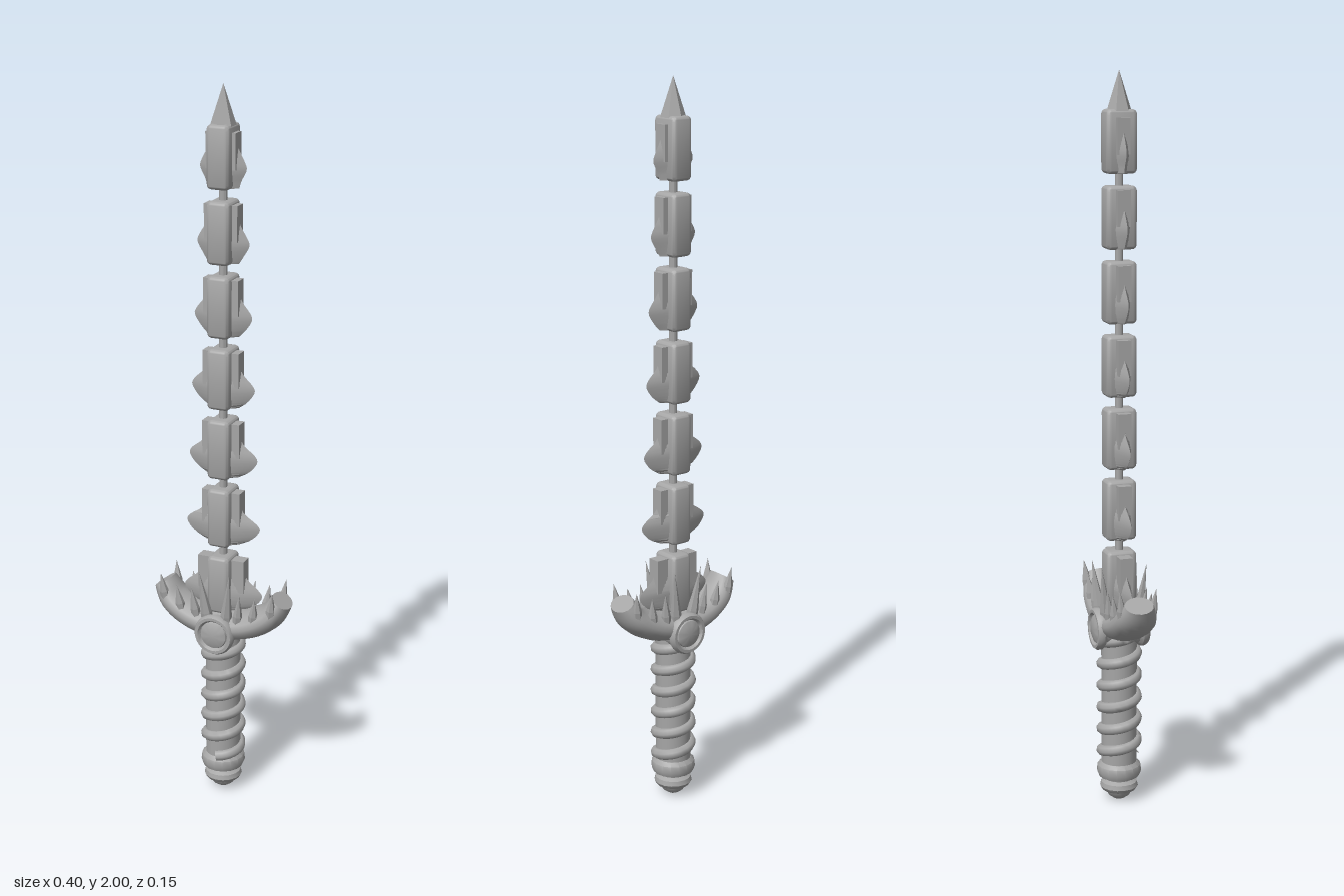
import * as THREE from 'three';
import { toCreasedNormals } from 'three/addons/utils/BufferGeometryUtils.js';
import { RoundedBoxGeometry } from 'three/addons/geometries/RoundedBoxGeometry.js';

const V = (x, y, z) => new THREE.Vector3(x, y, z);

export function createModel() {
  const root = new THREE.Group();
  root.name = 'segmentedSword';
  const steel = new THREE.MeshStandardMaterial({ color: 0xa6a6a6 });
  steel.name = 'grey steel';

  function add(name, geo, x = 0, y = 0, z = 0, parent = root, crease = 0.6) {
    const mesh = new THREE.Mesh(toCreasedNormals(geo, crease), steel);
    mesh.name = name;
    mesh.position.set(x, y, z);
    parent.add(mesh);
    return mesh;
  }

  // Diamond-section fin: sharp edges at left and right, bulging low down
  function finGeometry(bulge, upper, height) {
    const profile = new THREE.SplineCurve([
      [0.045, 0], [bulge * 0.78, 0.13], [bulge, 0.32], [bulge * 0.93, 0.45],
      [upper * 1.12, 0.62], [upper * 0.85, 0.8], [upper * 0.6, 1],
    ].map(([w, t]) => new THREE.Vector2(w, t)));
    const steps = 16;
    const geo = new THREE.CylinderGeometry(1, 1, 1, 4, steps);
    const p = geo.attributes.position;
    for (let i = 0; i < p.count; i++) {
      const s = profile.getPoint(p.getY(i) + 0.5);
      p.setXYZ(i, p.getX(i) * s.x, (s.y - 0.5) * height, p.getZ(i) * 0.034);
    }
    geo.computeVertexNormals();
    return geo;
  }

  // Blade links, narrowing towards the tip
  for (let i = 0; i < 7; i++) {
    const link = new THREE.Group();
    link.name = 'bladeLink' + (i + 1);
    link.position.y = 0.637 + i * 0.1967;
    root.add(link);
    const bulge = 0.116 - i * 0.0085;
    const upper = [0.068, 0.056, 0.054, 0.052, 0.05, 0.047, 0.042][i];
    add('linkCore', new RoundedBoxGeometry(0.064, 0.166, 0.084, 3, 0.013), 0, 0, 0, link);
    add('linkFin', finGeometry(bulge, upper, 0.15), 0, -0.006, 0, link);
    add('linkPlate', new THREE.BoxGeometry(upper * 2, 0.095, 0.036), 0, i === 6 ? 0.015 : 0.026, 0, link);
  }

  // Cord through the links, and the point
  add('bladeCord', new THREE.CylinderGeometry(0.011, 0.011, 1.25, 12), 0, 1.2, 0);
  add('bladeTip', new THREE.ConeGeometry(0.034, 0.105, 6), 0, 1.9475, 0, root, 0.3);

  // Grip core with a spiral wrap
  add('gripCore', new THREE.CylinderGeometry(0.049, 0.049, 0.42, 20), 0, 0.29, 0);
  const wrap = [];
  const turns = 6;
  for (let i = 0; i <= turns * 12; i++) {
    const a = (i / 12) * Math.PI * 2;
    wrap.push(V(Math.sin(a) * 0.048, 0.115 + (i / 12) * 0.063, Math.cos(a) * 0.048));
  }
  add('gripWrap', new THREE.TubeGeometry(new THREE.CatmullRomCurve3(wrap), 200, 0.0155, 8), 0, 0, 0, root, 1);

  // Pommel: two rings above a rounded end
  const pommel = [
    [0, 0], [0.016, 0.003], [0.03, 0.013], [0.036, 0.026], [0.047, 0.03], [0.053, 0.04],
    [0.05, 0.053], [0.038, 0.06], [0.04, 0.067], [0.056, 0.07], [0.062, 0.084],
    [0.06, 0.102], [0.05, 0.112], [0, 0.112],
  ].map(([r, y]) => new THREE.Vector2(r, y));
  add('pommel', new THREE.LatheGeometry(pommel, 16), 0, 0, 0, root, 0.7);

  // Crescent guard: oval sections along an upturned arc
  const arc = new THREE.CatmullRomCurve3([
    V(-0.177, 0.61, 0), V(-0.145, 0.562, 0), V(-0.08, 0.526, 0), V(0, 0.515, 0),
    V(0.08, 0.526, 0), V(0.145, 0.562, 0), V(0.177, 0.61, 0),
  ]);
  const rings = 32, sides = 16, pos = [], idx = [];
  for (let i = 0; i <= rings; i++) {
    const t = i / rings, c = arc.getPoint(t), d = arc.getTangent(t);
    const e = Math.abs(2 * t - 1);
    const depth = 0.067 - 0.027 * e ** 3, thick = 0.042 - 0.012 * e * e;
    for (let j = 0; j < sides; j++) {
      const a = (j / sides) * Math.PI * 2, n = Math.cos(a) * thick;
      pos.push(c.x - d.y * n, c.y + d.x * n, Math.sin(a) * depth);
    }
  }
  for (let i = 0; i < rings; i++) {
    for (let j = 0; j < sides; j++) {
      const a = i * sides + j, b = i * sides + ((j + 1) % sides);
      idx.push(a, a + sides, b, b, a + sides, b + sides);
    }
  }
  for (let j = 1; j < sides - 1; j++) {
    const k = rings * sides;
    idx.push(0, j, j + 1, k, k + j + 1, k + j);
  }
  const guard = new THREE.BufferGeometry();
  guard.setAttribute('position', new THREE.Float32BufferAttribute(pos, 3));
  guard.setIndex(idx);
  // Keep the faces pointing outwards
  const A = V(...pos.slice(0, 3)), B = V(...pos.slice(sides * 3, sides * 3 + 3)), C = V(...pos.slice(3, 6));
  const face = B.clone().sub(A).cross(C.clone().sub(A));
  if (face.dot(A.clone().sub(arc.getPoint(0))) < 0) guard.setIndex(idx.slice().reverse());
  guard.computeVertexNormals();
  add('guard', guard, 0, 0, 0, root, 0.8);

  // Spikes along the guard's edges: x, base y, z, height, radius
  const spikes = [
    [0.158, 0.578, 0.042, 0.055, 0.013], [0.108, 0.553, 0.046, 0.055, 0.013],
    [0.062, 0.545, 0.046, 0.065, 0.013], [0.028, 0.54, 0.046, 0.13, 0.016],
  ];
  for (const sx of [-1, 1]) for (const sz of [-1, 1]) {
    for (const [x, y, z, h, r] of spikes) {
      const spike = new THREE.Group();
      spike.name = 'guardSpike';
      spike.position.set(sx * x, y, sz * z);
      spike.rotation.set(sz * 0.12, 0, -sx * 0.12);
      root.add(spike);
      add('spikeBase', new THREE.CylinderGeometry(r, r, 0.026, 6), 0, 0.005, 0, spike, 0.3);
      add('spikePoint', new THREE.ConeGeometry(r, h, 6), 0, 0.018 + h / 2, 0, spike, 0.3);
    }
  }

  // Round boss on both faces of the guard
  const boss = [
    [0.05, 0], [0.058, 0.008], [0.058, 0.018], [0.053, 0.026], [0.045, 0.026],
    [0.039, 0.018], [0.037, 0.022], [0.025, 0.027], [0, 0.029],
  ].map(([r, y]) => new THREE.Vector2(r, y));
  for (const s of [-1, 1]) {
    const disc = add('guardBoss', new THREE.LatheGeometry(boss, 28), 0, 0.5, s * 0.048);
    disc.rotation.x = s * Math.PI / 2;
  }
  add('guardHub', new THREE.CylinderGeometry(0.05, 0.05, 0.1, 24).rotateX(Math.PI / 2), 0, 0.5, 0);

  return root;
}
